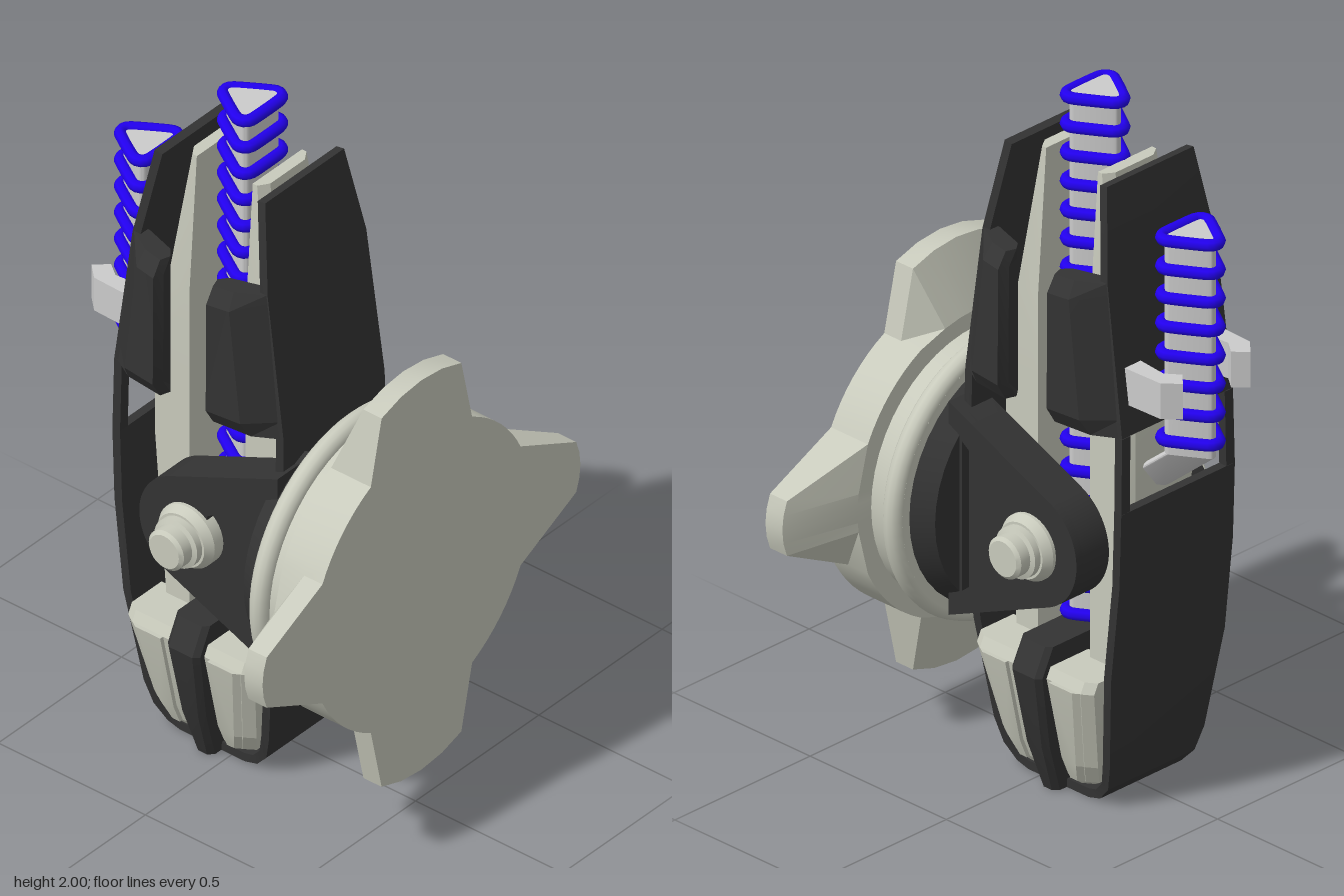
import * as THREE from 'three';
import { toCreasedNormals } from 'three/addons/utils/BufferGeometryUtils.js';

const mat = (color) => new THREE.MeshStandardMaterial({ color, side: THREE.DoubleSide });
const GREY = mat(0xcccccc), STONE = mat(0xc8cabc), BLACK = mat(0x333333), BLUE = mat(0x2200ee);
const ZC = -0.065; // depth of the body's mid plane
const PIVOT_Y = 0.735;
const rad = THREE.MathUtils.degToRad;

// Closed solid through equal-length rings of [x, y, z]
function loft(rings, crease = 0.5) {
  const n = rings[0].length, pos = [], idx = [];
  const center = (r) => [0, 1, 2].map((k) => r.reduce((s, p) => s + p[k], 0) / n);
  rings.forEach((r) => r.forEach((p) => pos.push(...p)));
  pos.push(...center(rings[0]), ...center(rings[rings.length - 1]));
  const c0 = n * rings.length, c1 = c0 + 1, last = n * (rings.length - 1);
  for (let j = 0; j < n; j++) {
    const k = (j + 1) % n;
    for (let i = 0; i < rings.length - 1; i++) {
      const a = i * n + j, b = i * n + k;
      idx.push(a, b, b + n, a, b + n, a + n);
    }
    idx.push(c0, k, j, c1, last + j, last + k);
  }
  // turn the faces outwards
  let volume = 0;
  const v = (i) => new THREE.Vector3(pos[i * 3], pos[i * 3 + 1], pos[i * 3 + 2]);
  for (let i = 0; i < idx.length; i += 3) volume += v(idx[i]).dot(v(idx[i + 1]).cross(v(idx[i + 2])));
  if (volume < 0) idx.reverse();
  const g = new THREE.BufferGeometry();
  g.setAttribute('position', new THREE.Float32BufferAttribute(pos, 3));
  g.setIndex(idx);
  return toCreasedNormals(g, crease);
}

function add(parent, name, geometry, material) {
  const m = new THREE.Mesh(geometry, material);
  m.name = name;
  parent.add(m);
  return m;
}

// Four-lobed foot plate with sloping lobe backs
function plateRing(z, tipScale) {
  const pts = [];
  for (let q = 0; q < 4; q++) {
    const side = q % 2 === 0;
    const root = side ? 25.4 : 27.5, tip = side ? 7.3 : 15.3, nextRoot = side ? 27.5 : 25.4;
    const rt = side ? 0.645 : 0.625;
    const put = (deg, r) => {
      const a = rad(q * 90 + deg);
      pts.push([r * Math.cos(a), PIVOT_Y + r * Math.sin(a), z]);
    };
    put(-root, 0.445);
    for (const t of [-1, -0.5, 0, 0.5, 1]) put(t * tip, THREE.MathUtils.lerp(0.44, rt - 0.012 * t * t, tipScale));
    put(root, 0.445);
    for (let i = 1; i < 8; i++) put(root + (i / 8) * (90 - nextRoot - root), 0.445);
  }
  return pts;
}

// Rounded triangle in plan, pointing backwards
function triangle(r, y, dz = 0) {
  const pts = [];
  [[0.055, -0.033, 90], [0, -0.122, -31.7], [-0.055, -0.033, -148.3]].forEach(([x, z, start]) => {
    const sweep = x === 0 ? 116.6 : 121.7;
    for (let i = 0; i <= 6; i++) {
      const a = rad(start - (sweep * i) / 6);
      pts.push([x + r * Math.cos(a), y, z + dz + r * Math.sin(a)]);
    }
  });
  return pts;
}

function ribbedTube(name, bottom, top, dz, count, firstRing, lastRing) {
  const g = new THREE.Group();
  g.name = name;
  add(g, 'tubeCore', loft([triangle(0.016, bottom, dz), triangle(0.016, top, dz)]), GREY);
  const path = new THREE.CatmullRomCurve3(triangle(0.025, 0, dz).map((p) => new THREE.Vector3(...p)), true);
  const ring = new THREE.TubeGeometry(path, 42, 0.017, 8, true);
  for (let i = 0; i < count; i++) {
    add(g, 'tubeRing', ring, BLUE).position.y = THREE.MathUtils.lerp(firstRing, lastRing, i / (count - 1));
  }
  return g;
}

// Bent shell sheet; rows are [y, depth, half width], from/to are fractions of the width
function sheet(rows, from = -1, to = 1, t = 0.013) {
  return loft(rows.map(([y, d, w], i) => {
    const a = rows[Math.max(i - 1, 0)], b = rows[Math.min(i + 1, rows.length - 1)];
    const len = Math.hypot(b[0] - a[0], b[1] - a[1]);
    const ny = ((b[1] - a[1]) / len) * t, nd = (-(b[0] - a[0]) / len) * t;
    return [[from * w, y + ny, d + nd], [to * w, y + ny, d + nd], [to * w, y - ny, d - nd], [from * w, y - ny, d - nd]];
  }), 0.3);
}

function armShape() {
  const s = new THREE.Shape();
  s.moveTo(0.24, 1.05);
  s.lineTo(0.24, 0.42);
  s.absarc(-0.06, PIVOT_Y, 0.17, rad(247), rad(113), true);
  return s;
}

// Extrude a side-on (z, y) shape from x0 to x1
function sideExtrude(shape, x0, x1) {
  const g = new THREE.ExtrudeGeometry(shape, { depth: x1 - x0, bevelEnabled: false, curveSegments: 16 });
  return toCreasedNormals(g.rotateY(-Math.PI / 2).translate(x1, 0, 0), 0.5);
}

export function createModel() {
  const model = new THREE.Group();

  // Foot plate, collar and rim
  add(model, 'footPlate', loft([plateRing(0.52, 1), plateRing(0.458, 1), plateRing(0.385, 0)], 0.35), STONE);
  add(model, 'collar', toCreasedNormals(new THREE.CylinderGeometry(0.39, 0.39, 0.13, 48), 0.5)
    .rotateX(Math.PI / 2).translate(0, PIVOT_Y, 0.335), STONE);
  add(model, 'rim', new THREE.TorusGeometry(0.39, 0.03, 12, 64).translate(0, PIVOT_Y, 0.3), STONE);

  // Central and rear ribbed tubes
  model.add(ribbedTube('centralTube', 0.45, 1.995, 0, 19, 0.465, 1.985));
  model.add(ribbedTube('rearTube', 1.06, 1.7, -0.35, 8, 1.105, 1.695));
  add(model, 'rearTubeElbow', loft([triangle(0.016, 1.06, -0.35), triangle(0.016, 0.92, -0.18)]), GREY);

  // Pieces mirrored left and right
  for (const sx of [1, -1]) {
    const side = new THREE.Group();
    side.name = sx > 0 ? 'leftSide' : 'rightSide';
    side.scale.x = sx;
    model.add(side);

    // Bracket: foot, arm core and raised border around a recess
    const footRing = (r, z) => {
      const a = Math.acos(0.12 / r), pts = [];
      for (let i = 0; i <= 16; i++) {
        const t = -a + (2 * a * i) / 16;
        pts.push([r * Math.cos(t), PIVOT_Y + r * Math.sin(t), z]);
      }
      return pts;
    };
    add(side, 'bracketFoot', loft([footRing(0.37, 0.285), footRing(0.34, 0.2)]), BLACK);
    add(side, 'bracketArm', sideExtrude(armShape(), 0.13, 0.225), BLACK);
    const border = armShape();
    border.holes.push(new THREE.Path([[0.19, 0.95], [0.19, 0.51], [0, 0.66], [0, 0.82]]
      .map((p) => new THREE.Vector2(...p))));
    add(side, 'bracketBorder', sideExtrude(border, 0.225, 0.25), BLACK);

    // Stepped pivot pin
    const pin = [[0, 0.12], [0.095, 0.12], [0.095, 0.26], [0.08, 0.285], [0.073, 0.285], [0.073, 0.305],
      [0.06, 0.31], [0.06, 0.343], [0.05, 0.352], [0, 0.352]].map((p) => new THREE.Vector2(...p));
    add(side, 'pivotPin', toCreasedNormals(new THREE.LatheGeometry(pin, 32), 0.5)
      .rotateZ(-Math.PI / 2).translate(0, PIVOT_Y, -0.06), STONE);

    // Hook holding the rear tube
    const hook = [[0.17, -0.32], [0.165, -0.455], [0.125, -0.497], [0.09, -0.46], [0.12, -0.42], [0.11, -0.32]];
    add(side, 'tubeHook', loft([1.225, 1.33].map((y) => hook.map(([x, z]) => [x, y, z]))), GREY);

    // Black rib between the lower cheeks
    const rib = [[0.45, 0.055, 0.24], [0.37, 0.055, 0.28], [0.15, 0.042, 0.24], [0, 0.03, 0.19]];
    add(side, 'lowerRib', loft(rib.map(([y, d, x]) =>
      [[0, y, ZC + d], [x - 0.015, y, ZC + d], [x, y, ZC + d - 0.015], [x, y, ZC - d + 0.015], [x - 0.015, y, ZC - d], [0, y, ZC - d]]), 0.2), BLACK);
  }

  // Shell rows from the top to the middle of the underside
  const rows = [[1.83, 0.175, 0.16], [1.57, 0.217, 0.2], [1.14, 0.275, 0.205], [0.92, 0.277, 0.21], [0.7, 0.27, 0.21],
    [0.42, 0.24, 0.21], [0.13, 0.2, 0.175], [0.06, 0.18, 0.16], [0.022, 0.145, 0.15], [0.013, 0.11, 0.15], [0.013, 0, 0.15]];

  for (const sz of [1, -1]) {
    const half = new THREE.Group();
    half.name = sz > 0 ? 'frontHalf' : 'backHalf';
    half.scale.z = sz;
    half.position.z = ZC;
    model.add(half);

    // Thin outer shell; the back has a window for the tube elbow
    if (sz > 0) add(half, 'shell', sheet(rows), BLACK);
    else {
      add(half, 'upperShell', sheet(rows.slice(0, 3)), BLACK);
      add(half, 'lowerShell', sheet(rows.slice(3)), BLACK);
      add(half, 'windowEdge', sheet(rows.slice(2, 4), -1, -0.85), BLACK);
      add(half, 'windowEdge', sheet(rows.slice(2, 4), 0.85, 1), BLACK);
    }

    // Grey liner inside the shell
    const liner = [[1.82, 0.13, 0.1], [1.4, 0.19, 0.13], [1.15, 0.232, 0.13], [0.9, 0.232, 0.13], [0.35, 0.19, 0.13]];
    add(half, 'liner', loft(liner.map(([y, d, w]) =>
      [[-w, y, 0.095], [-w, y, d - 0.02], [-w + 0.03, y, d], [w - 0.03, y, d], [w, y, d - 0.02], [w, y, 0.095]]), 0.2), STONE);

    for (const sx of [1, -1]) {
      const corner = new THREE.Group();
      corner.name = 'corner';
      corner.scale.x = sx;
      half.add(corner);

      // Black shoulder panel wrapping the shell edge
      const panel = [[1.575, 0.225, 0.255], [1.53, 0.232, 0.283], [1.19, 0.272, 0.285], [1.14, 0.284, 0.255]];
      add(corner, 'shoulderPanel', loft(panel.map(([y, d, x]) =>
        [[0.17, y, d], [0.2, y, d], [x - 0.012, y, d - 0.075], [x, y, 0.09], [x - 0.03, y, 0.08], [0.2, y, 0.1], [0.17, y, d - 0.03]]), 0.2), BLACK);

      // Grey lower cheek with a raised face
      const cheek = [[0.4, 0.215, 0.24], [0.37, 0.215, 0.255], [0.12, 0.175, 0.2], [0.06, 0.155, 0.175], [0.04, 0.125, 0.16]];
      const cheekRing = (inset, grow) => ([y, d, x]) =>
        [[0.1, y, 0.06 + inset], [x + grow, y, 0.06 + inset], [x + grow, y, d - 0.03 - inset], [x + grow - 0.02, y, d - inset], [0.1, y, d - inset]];
      add(corner, 'lowerCheek', loft(cheek.map(cheekRing(0, 0)), 0.2), STONE);
      add(corner, 'cheekFace', loft(cheek.slice(1, 4).map(cheekRing(0.02, 0.012)), 0.2), STONE);
    }
  }
  return model;
}
